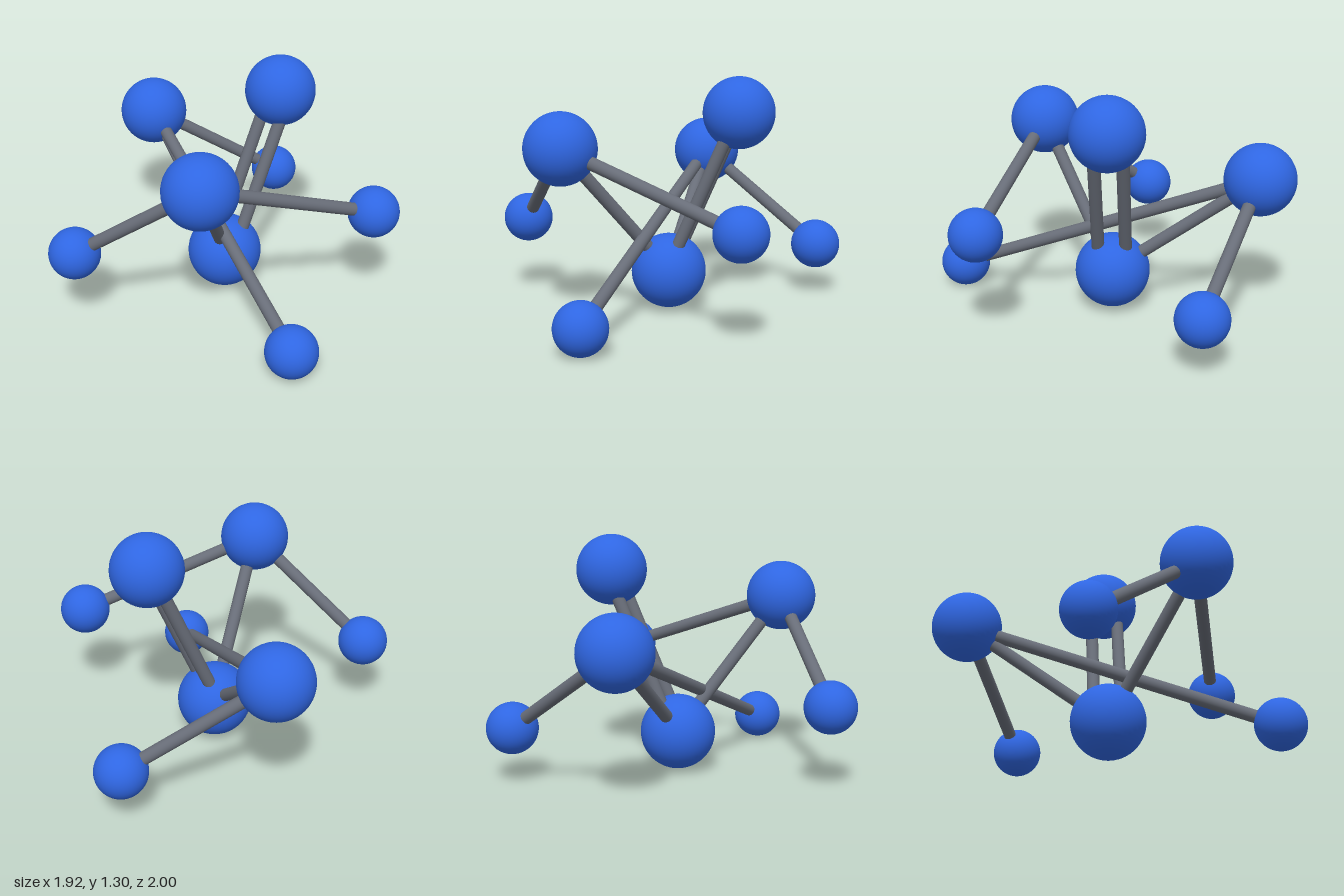
import * as THREE from 'three';

export function createModel() {
  const model = new THREE.Group();
  model.name = 'moleculeModel';

  const blue = new THREE.MeshStandardMaterial({ color: 0x2f66e2 });
  blue.name = 'atomBlue';
  const grey = new THREE.MeshStandardMaterial({ color: 0x686d78 });
  grey.name = 'bondGrey';

  // Atoms: position and radius
  const atoms = {
    centre: [0.054, 0.223, -0.019, 0.206],
    leftOuter: [0.436, 1.11, -0.019, 0.194],
    rightOuter: [-0.424, 0.949, 0.41, 0.194],
    backOuter: [0.116, 0.787, -0.805, 0.194],
    rightTip: [-0.82, 0.449, -0.177, 0.139],
    frontTip: [0.556, 0.601, 0.638, 0.139],
    backTip: [0.819, 0.3, -0.51, 0.139],
    lowTip: [-0.187, 0.145, 0.859, 0.139],
  };
  for (const [name, [x, y, z, r]] of Object.entries(atoms)) {
    const atom = new THREE.Mesh(new THREE.SphereGeometry(r, 40, 28), blue);
    atom.name = name + 'Atom';
    atom.position.set(x, y, z);
    model.add(atom);
  }

  // Bonds: rods between atom centres, shifted along z for the double bond
  const bonds = [
    ['centre', 'leftOuter', 0.075],
    ['centre', 'leftOuter', -0.075],
    ['centre', 'rightOuter', 0],
    ['centre', 'backOuter', 0],
    ['rightOuter', 'rightTip', 0],
    ['rightOuter', 'frontTip', 0],
    ['backOuter', 'backTip', 0],
    ['backOuter', 'lowTip', 0],
  ];
  const up = new THREE.Vector3(0, 1, 0);
  bonds.forEach(([from, to, shift], i) => {
    const a = new THREE.Vector3(...atoms[from].slice(0, 3));
    const b = new THREE.Vector3(...atoms[to].slice(0, 3));
    const dir = b.clone().sub(a);
    const rod = new THREE.Mesh(new THREE.CylinderGeometry(0.035, 0.035, dir.length(), 24), grey);
    rod.name = 'bond' + (i + 1);
    rod.position.copy(a).add(b).multiplyScalar(0.5);
    rod.position.z += shift;
    rod.quaternion.setFromUnitVectors(up, dir.normalize());
    model.add(rod);
  });

  return model;
}
